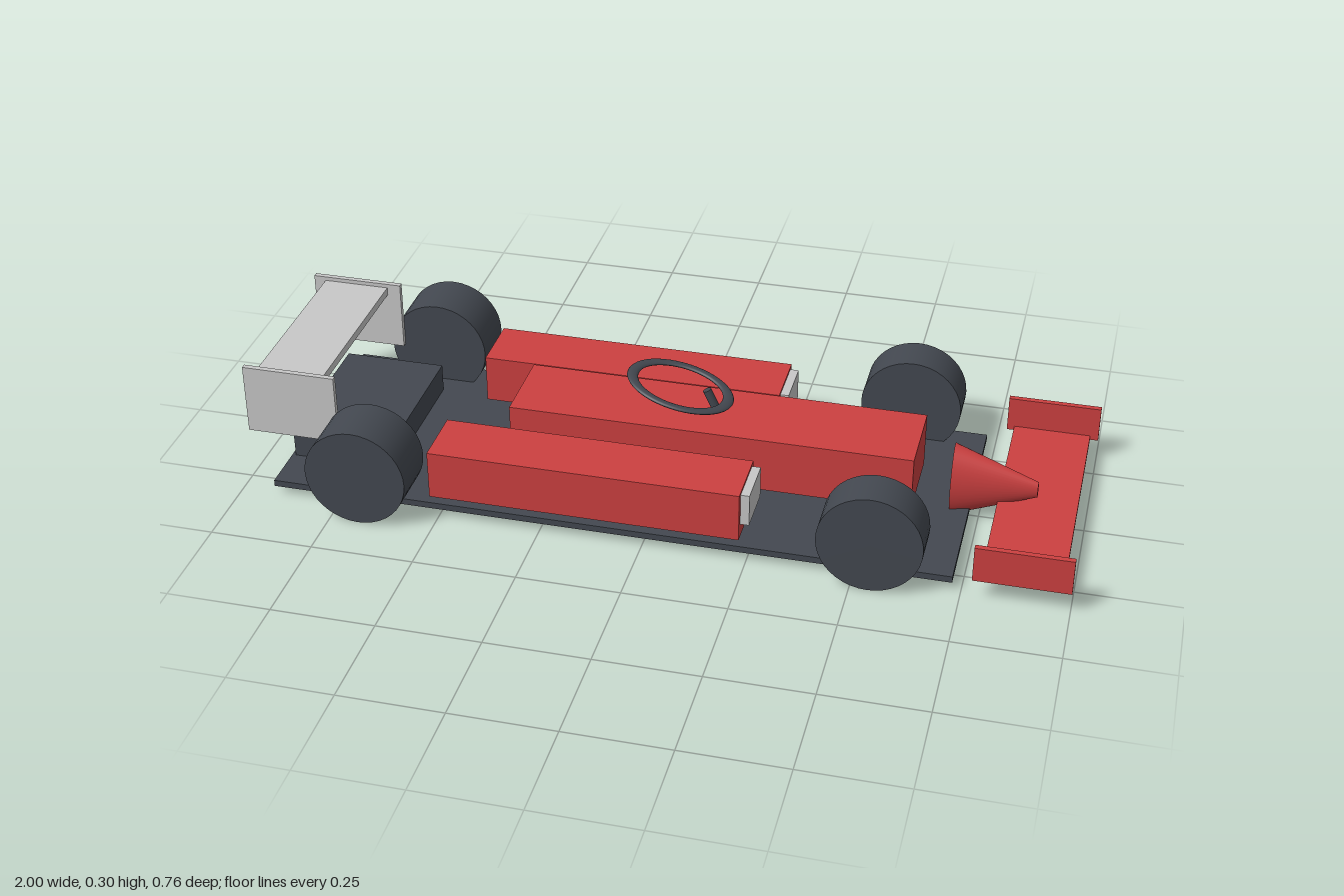
import * as THREE from 'three';

const paint = (name, color) => {
  const m = new THREE.MeshStandardMaterial({ color });
  m.name = name;
  return m;
};

export function createModel() {
  const red = paint('red', 0xcc4040);
  const dark = paint('darkGrey', 0x434850);
  const silver = paint('lightGrey', 0xc8c8c8);
  const car = new THREE.Group();
  car.name = 'raceCar';

  const add = (name, geometry, material, x = 0, y = 0, z = 0) => {
    const mesh = new THREE.Mesh(geometry, material);
    mesh.name = name;
    mesh.position.set(x, y, z);
    car.add(mesh);
    return mesh;
  };
  // Box given by its limits along each axis
  const box = (name, material, [x0, x1], [y0, y1], [z0, z1]) =>
    add(name, new THREE.BoxGeometry(x1 - x0, y1 - y0, z1 - z0), material,
      (x0 + x1) / 2, (y0 + y1) / 2, (z0 + z1) / 2);
  // Box repeated on both sides of the car
  const pair = (name, material, xs, ys, [z0, z1]) => {
    box(name + 'Right', material, xs, ys, [z0, z1]);
    box(name + 'Left', material, xs, ys, [-z1, -z0]);
  };

  // Floor, engine block and main body
  box('floor', dark, [-0.917, 0.729], [0.02, 0.036], [-0.308, 0.308]);
  box('engineBlock', dark, [-0.908, -0.655], [0.036, 0.107], [-0.19, 0.19]);
  box('body', red, [-0.381, 0.6], [0.062, 0.2], [-0.103, 0.103]);

  // Sidepods with intakes
  pair('sidepod', red, [-0.523, 0.23], [0.05, 0.172], [0.15, 0.303]);
  pair('intake', silver, [0.23, 0.251], [0.085, 0.166], [0.164, 0.288]);

  // Front wing
  box('frontWing', red, [0.793, 0.98], [0.047, 0.064], [-0.322, 0.322]);
  pair('frontEndplate', red, [0.775, 1], [0.053, 0.142], [0.32, 0.334]);

  // Rear wing
  box('rearWing', silver, [-0.97, -0.804], [0.273, 0.293], [-0.229, 0.229]);
  pair('rearEndplate', silver, [-1, -0.77], [0.127, 0.303], [0.228, 0.241]);

  // Tall oval nose cone pointing along +x
  const nose = new THREE.CylinderGeometry(0.0105, 0.05, 0.202, 40);
  nose.rotateZ(-Math.PI / 2).scale(1, 1.93, 1);
  add('noseCone', nose, red, 0.783, 0.098, 0);

  // Wheels
  for (const [name, x, z0, z1] of [['rearWheel', -0.679, 0.241, 0.378], ['frontWheel', 0.541, 0.252, 0.355]]) {
    for (const side of [1, -1]) {
      const wheel = new THREE.CylinderGeometry(0.1235, 0.1235, z1 - z0, 40).rotateX(Math.PI / 2);
      add(name + (side > 0 ? 'Right' : 'Left'), wheel, dark, x, 0.1235, side * (z0 + z1) / 2);
    }
  }

  // Oval steering wheel, tilted down toward the nose, on a short column
  const rim = new THREE.TorusGeometry(0.0915, 0.0105, 12, 48);
  rim.rotateX(Math.PI / 2).scale(1.3, 0.5, 1).rotateZ(-0.225);
  add('steeringWheel', rim, dark, 0.018, 0.256, 0);
  const column = add('steeringColumn', new THREE.CylinderGeometry(0.0105, 0.0105, 0.075, 16), dark, 0.099, 0.222, 0);
  column.rotation.z = 0.44;

  return car;
}
